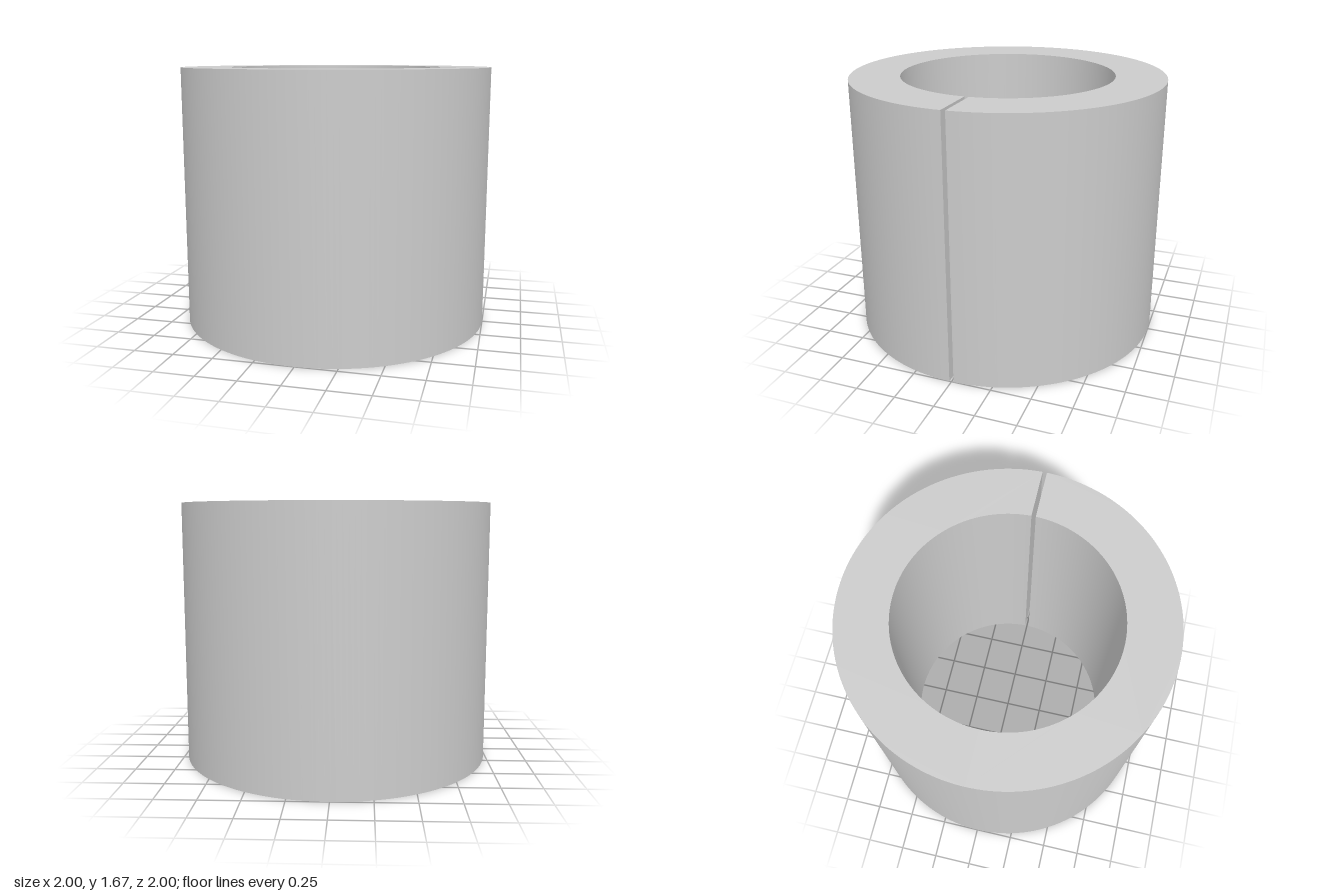
import * as THREE from 'three';
import { toCreasedNormals } from 'three/addons/utils/BufferGeometryUtils.js';

const OUTER = 1, INNER = 0.68, HEIGHT = 1.667, HALF_GAP = 0.0135;

export function createModel() {
  const group = new THREE.Group();
  group.name = 'splitBushing';

  // C-shaped ring section: the slot on +x has parallel walls
  const a = Math.asin(HALF_GAP / OUTER);
  const b = Math.asin(HALF_GAP / INNER);
  const section = new THREE.Shape();
  section.absarc(0, 0, OUTER, a, Math.PI * 2 - a, false);
  section.absarc(0, 0, INNER, Math.PI * 2 - b, b, true);
  section.closePath();

  // Extruded upwards, smooth round the walls and sharp at the rims
  const extruded = new THREE.ExtrudeGeometry(section, {
    depth: HEIGHT, bevelEnabled: false, curveSegments: 96,
  });
  extruded.rotateX(-Math.PI / 2);

  const sleeve = new THREE.Mesh(
    toCreasedNormals(extruded, 0.5),
    new THREE.MeshStandardMaterial({ color: 0xcccccc }),
  );
  sleeve.name = 'splitSleeve';
  group.add(sleeve);
  return group;
}
